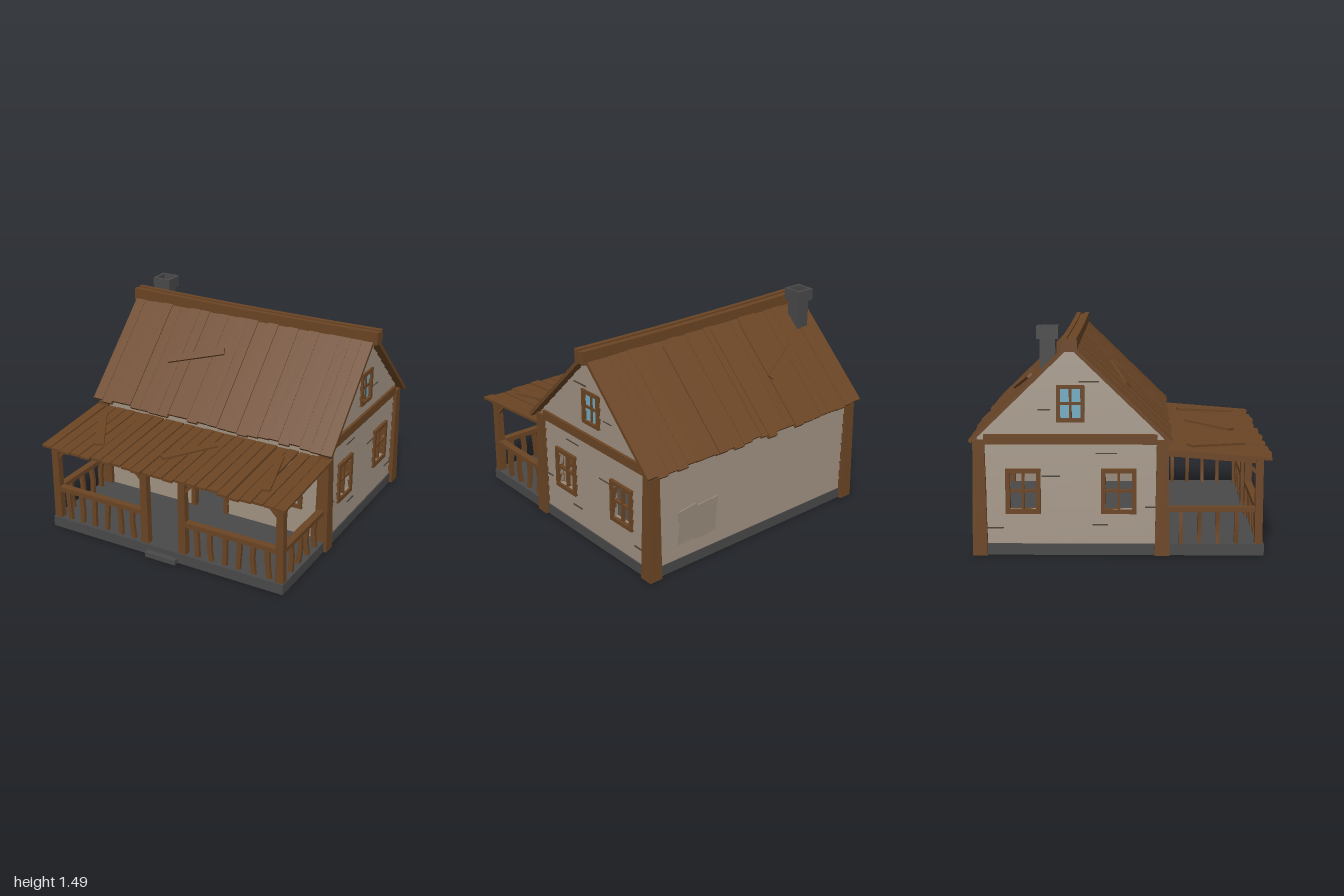
import * as THREE from 'three';
import { mergeGeometries } from 'three/addons/utils/BufferGeometryUtils.js';

const mat = (name, color) => {
  const m = new THREE.MeshStandardMaterial({ color });
  m.name = name;
  return m;
};

export function createModel() {
  const wood = mat('brown wood', 0x6b4524);
  const siding = mat('weathered siding', 0x988a7b);
  const stone = mat('grey stone', 0x494949);
  const glass = mat('blue glass', 0x74adc4);
  const crackMat = mat('dark crack', 0x4c443c);

  let seed = 7;
  const rnd = (a, b) => {
    seed = (seed * 16807) % 2147483647;
    return a + (b - a) * (seed / 2147483647);
  };

  const model = new THREE.Group();
  const house = new THREE.Group();
  house.name = 'house';
  house.position.x = -0.01;
  model.add(house);
  const ZC = -0.325, HX = 0.9, HZ = 0.6, FLOOR = 0.07;

  const add = (parent, name, geo, material) => {
    const m = new THREE.Mesh(geo, material);
    m.name = name;
    parent.add(m);
    return m;
  };
  // box given by its limits
  const box = (parent, name, material, x0, x1, y0, y1, z0, z1) => {
    const m = add(parent, name, new THREE.BoxGeometry(x1 - x0, y1 - y0, z1 - z0), material);
    m.position.set((x0 + x1) / 2, (y0 + y1) / 2, (z0 + z1) / 2);
    return m;
  };
  const group = (parent, name, x, y, z) => {
    const g = new THREE.Group();
    g.name = name;
    g.position.set(x, y, z);
    parent.add(g);
    return g;
  };
  // move each vertex of a geometry by a rule
  const warp = (geo, rule) => {
    const p = geo.attributes.position, v = new THREE.Vector3();
    for (let i = 0; i < p.count; i++) {
      rule(v.fromBufferAttribute(p, i));
      p.setXYZ(i, v.x, v.y, v.z);
    }
    geo.computeVertexNormals();
    return geo;
  };

  // foundation, porch floor and step
  box(house, 'foundation', stone, -0.92, 0.92, 0, FLOOR + 0.005, -0.94, 0.93);
  box(house, 'step', stone, -0.12, 0.12, 0, 0.035, 0.93, 0.97);

  // lap-sided wall: trapezoid strips around the openings, each board thicker at its bottom
  const ROW = 0.0745;
  const wallGeometry = (half, top, openings) => {
    const ys = new Set([top, 0.78]);
    for (let y = FLOOR; y < top; y += ROW) ys.add(y);
    openings.forEach(o => { ys.add(o[2]); ys.add(o[3]); });
    const levels = [...ys].sort((a, b) => a - b);
    const parts = [];
    for (let i = 0; i + 1 < levels.length; i++) {
      const a = levels[i], b = levels[i + 1];
      if (b - a < 1e-4) continue;
      const row = Math.floor(((a + b) / 2 - FLOOR) / ROW);
      const out = y => 0.012 * (1 - (y - FLOOR - row * ROW) / ROW);
      const cuts = [[-half(a), -half(b)]];
      openings.filter(o => o[2] <= a + 1e-5 && o[3] >= b - 1e-5)
        .forEach(o => cuts.push([o[0], o[0]], [o[1], o[1]]));
      cuts.push([half(a), half(b)]);
      for (let c = 0; c < cuts.length; c += 2) {
        parts.push(warp(new THREE.BoxGeometry(1, 1, 1), v => {
          const up = v.y > 0 ? 1 : 0;
          v.x = cuts[v.x < 0 ? c : c + 1][up];
          v.y = up ? b : a;
          v.z = v.z > 0 ? out(v.y) : -0.02;
        }));
      }
    }
    return mergeGeometries(parts);
  };
  // window trim with cross bars; the hole is w by h
  const windowTrim = (parent, x, y, w, h, t, pane) => {
    const g = group(parent, 'window', x, y, 0);
    for (const s of [-1, 1]) {
      const jamb = s * (w + t) / 2, rail = s * (h + t) / 2;
      box(g, 'windowJamb', wood, jamb - t / 2, jamb + t / 2, -h / 2 - t, h / 2 + t, -0.025, 0.025);
      box(g, 'windowRail', wood, -w / 2, w / 2, rail - t / 2, rail + t / 2, -0.025, 0.025);
    }
    box(g, 'mullion', wood, -0.009, 0.009, -h / 2, h / 2, -0.012, 0.012);
    box(g, 'crossBar', wood, -w / 2, w / 2, -0.009, 0.009, -0.012, 0.012);
    if (pane) box(g, 'pane', glass, -w / 2, w / 2, -h / 2, h / 2, -0.004, 0.004);
    return g;
  };
  const hole = (x, y, w, h) => [x - w / 2, x + w / 2, y - h / 2, y + h / 2];
  const crack = (parent, x, y, w) => box(parent, 'crack', crackMat, x - w / 2, x + w / 2, y - 0.004, y + 0.004, 0.006, 0.014);

  // front wall with door and two windows
  const WY = 0.425, WW = 0.17, WH = 0.24, T = 0.029;
  const front = group(house, 'frontWall', 0, 0, ZC + HZ);
  add(front, 'frontSiding', wallGeometry(() => HX, 0.78,
    [hole(-0.62, WY, WW, WH), [-0.12, 0.12, FLOOR, 0.575], hole(0.62, WY, WW, WH)]), siding);
  windowTrim(front, 0.62, WY, WW, WH, T);
  const boarded = windowTrim(front, -0.62, WY, WW, WH, T);
  for (let i = 0; i < 6; i++) {
    const slat = box(boarded, 'windowBoard', wood, -0.1, 0.1, -0.016, 0.016, 0.022, 0.034);
    slat.position.y = -0.11 + i * 0.044;
    slat.rotation.z = rnd(-0.04, 0.04);
  }
  for (const s of [-1, 1]) box(front, 'doorJamb', wood, s * 0.135 - 0.017, s * 0.135 + 0.017, FLOOR, 0.61, -0.025, 0.025);
  box(front, 'doorHeader', wood, -0.118, 0.118, 0.575, 0.61, -0.025, 0.025);
  crack(front, 0.81, 0.18, 0.08);

  // back wall with a patch
  const back = group(house, 'backWall', 0, 0, ZC - HZ);
  back.rotation.y = Math.PI;
  add(back, 'backSiding', wallGeometry(() => HX, 0.78, []), siding);
  const patch = new THREE.Shape([[-0.7, 0.18], [-0.56, 0.19], [-0.54, 0.17], [-0.36, 0.18], [-0.37, 0.24],
    [-0.35, 0.43], [-0.52, 0.42], [-0.54, 0.44], [-0.69, 0.42], [-0.68, 0.34]].map(p => new THREE.Vector2(...p)));
  add(back, 'wallPatch', new THREE.ExtrudeGeometry(patch, { depth: 0.008, bevelEnabled: false }), siding).position.z = 0.01;

  // gable walls
  const gableHalf = y => (y <= 0.78 ? HZ : HZ * Math.max(0, 1.365 - y) / 0.585);
  for (const s of [-1, 1]) {
    const g = group(house, s > 0 ? 'leftGable' : 'rightGable', s * HX, 0, ZC);
    g.rotation.y = s * Math.PI / 2;
    add(g, 'gableSiding', wallGeometry(gableHalf, 1.365,
      [hole(-0.31, WY, WW, WH), hole(0.31, WY, WW, WH), hole(0, 1, 0.13, 0.19)]), siding);
    for (const x of [-0.31, 0.31]) windowTrim(g, x, WY, WW, WH, T);
    windowTrim(g, 0, 1, 0.13, 0.19, 0.025, true);
    box(g, 'gableBeam', wood, -0.56, 0.56, 0.735, 0.8, -0.02, 0.022);
    [[-0.23, 0.675, 0.14], [0.13, 0.525, 0.12], [0.5, 0.18, 0.12], [-0.52, 0.32, 0.08], [-0.12, 1.14, 0.13],
      [0.17, 0.96, 0.08], [-0.19, 0.2, 0.1]].forEach(c => crack(g, c[0] * s, c[1], c[2]));
  }

  // flared corner posts
  for (const sx of [-1, 1]) for (const sz of [-1, 1]) {
    const geo = warp(new THREE.BoxGeometry(0.075, 0.765, 0.075), v => {
      if (v.y < 0) { v.x *= 1.3; v.z *= 1.3; }
    });
    add(house, 'cornerPost', geo, wood).position.set(sx * 0.8925, 0.3825, ZC + sz * 0.5925);
  }

  // roof of planks laid along local z from the group's origin
  const planks = (parent, n, halfWidth, length, dir, thick, gap, yaw) => {
    const w = 2 * halfWidth / n;
    for (let i = 0; i < n; i++) {
      const l = length + rnd(-0.01, 0.016), lift = rnd(0, 0.007);
      const m = add(parent, 'roofPlank', new THREE.BoxGeometry(w - gap, thick, l), wood);
      m.position.set(-halfWidth + w * (i + 0.5), lift - thick / 2, dir * l / 2);
      m.rotation.y = rnd(-yaw, yaw);
    }
  };
  const loosePlank = (parent, x1, z1, x2, z2, width = 0.05) => {
    const m = add(parent, 'loosePlank', new THREE.BoxGeometry(Math.hypot(x2 - x1, z2 - z1), 0.016, width), wood);
    m.position.set((x1 + x2) / 2, 0.016, (z1 + z2) / 2);
    m.rotation.y = -Math.atan2(z2 - z1, x2 - x1);
  };
  for (const s of [-1, 1]) {
    const slope = group(house, s > 0 ? 'frontRoof' : 'backRoof', 0, 1.395, ZC);
    slope.rotation.x = s * Math.atan2(0.64, 0.66);
    planks(slope, 24, 0.965, 0.91, s, 0.025, 0.001, 0);
    if (s > 0) loosePlank(slope, -0.49, 0.5, -0.08, 0.35);
    else {
      loosePlank(slope, -0.62, -0.38, -0.31, -0.55, 0.04);
      [[-0.345, 0.93], [-0.09, 0.935], [0.34, 0.915]].forEach(([x, l]) =>
        box(slope, 'repairPlank', wood, x - 0.037, x + 0.037, -0.02, 0.011, -l, -0.1));
    }
  }

  // sagging ridge boards
  for (const s of [-1, 0, 1]) {
    const geo = warp(new THREE.BoxGeometry(1.975, s ? 0.092 : 0.08, 0.032, 12), v => {
      v.y -= 0.01 * (1 - v.x * v.x);
    });
    add(house, 'ridgeBoard', geo, wood).position.set(0.0075, s ? 1.384 : 1.378, ZC + s * 0.032);
  }

  // chimney with a hollow cap
  const chimney = group(house, 'chimney', -0.82, 0, -0.47);
  box(chimney, 'chimneyShaft', stone, -0.05, 0.05, 1.1, 1.43, -0.05, 0.05);
  for (const s of [-1, 1]) {
    box(chimney, 'chimneyCap', stone, s * 0.06 - 0.01, s * 0.06 + 0.01, 1.41, 1.492, -0.07, 0.07);
    box(chimney, 'chimneyCap', stone, -0.05, 0.05, 1.41, 1.492, s * 0.06 - 0.01, s * 0.06 + 0.01);
  }

  // porch roof
  const porch = group(house, 'porch', 0, 0, 0);
  const porchRoof = group(porch, 'porchRoof', 0, 0.705, 0.285);
  porchRoof.rotation.x = 0.08;
  planks(porchRoof, 23, 0.955, 0.69, 1, 0.018, 0.009, 0.008);
  loosePlank(porchRoof, -0.8, 0.16, -0.57, 0.53, 0.06);
  loosePlank(porchRoof, 0.16, 0.18, -0.09, 0.49, 0.06);
  loosePlank(porchRoof, 0.63, 0.13, 0.74, 0.55);

  // porch posts, beams and braces
  const PZ = 0.895, PX = 0.885;
  box(porch, 'porchBeam', wood, -0.92, 0.92, 0.612, 0.643, PZ - 0.02, PZ + 0.02);
  const brace = (x, z, turn) => {
    const g = group(porch, 'brace', x, 0.583, z);
    g.rotation.y = turn;
    const m = add(g, 'braceBar', new THREE.BoxGeometry(0.1, 0.02, 0.025), wood);
    m.position.x = 0.055;
    m.rotation.z = Math.PI / 4;
  };
  for (const s of [-1, 1]) {
    const turn = s > 0 ? Math.PI : 0;
    for (const x of [PX, 0.15]) {
      const geo = warp(new THREE.BoxGeometry(0.05, 0.635, 0.05), v => { if (v.y < 0) v.x *= 1.2; });
      add(porch, 'porchPost', geo, wood).position.set(s * x, 0.3175, PZ);
    }
    brace(s * PX, PZ, turn);
    brace(s * 0.15, PZ, Math.PI - turn);
    brace(s * PX, PZ, Math.PI / 2);
    const beam = add(porch, 'sideBeam', new THREE.BoxGeometry(0.035, 0.03, 0.61), wood);
    beam.position.set(s * PX, 0.648, 0.595);
    beam.rotation.x = 0.08;
  }

  // railings with crooked balusters
  const baluster = (x, z) => {
    const bend = rnd(-0.012, 0.012), lean = rnd(-0.008, 0.008);
    const geo = warp(new THREE.BoxGeometry(0.032, 0.22, 0.026, 1, 2, 1), v => {
      v.x += Math.abs(v.y) < 0.05 ? bend : Math.sign(v.y) * lean;
    });
    add(porch, 'baluster', geo, wood).position.set(x, 0.183, z);
  };
  for (const s of [-1, 1]) {
    const mid = s * 0.5175;
    box(porch, 'frontRail', wood, mid - 0.345, mid + 0.345, 0.288, 0.323, PZ - 0.025, PZ + 0.025);
    box(porch, 'sideRail', wood, s * PX - 0.025, s * PX + 0.025, 0.288, 0.32, 0.3, 0.87);
    for (let i = 0; i < 6; i++) baluster(s * (0.255 + i * 0.108), PZ);
    for (let i = 0; i < 4; i++) baluster(s * PX, 0.39 + i * 0.12);
  }
  return model;
}
